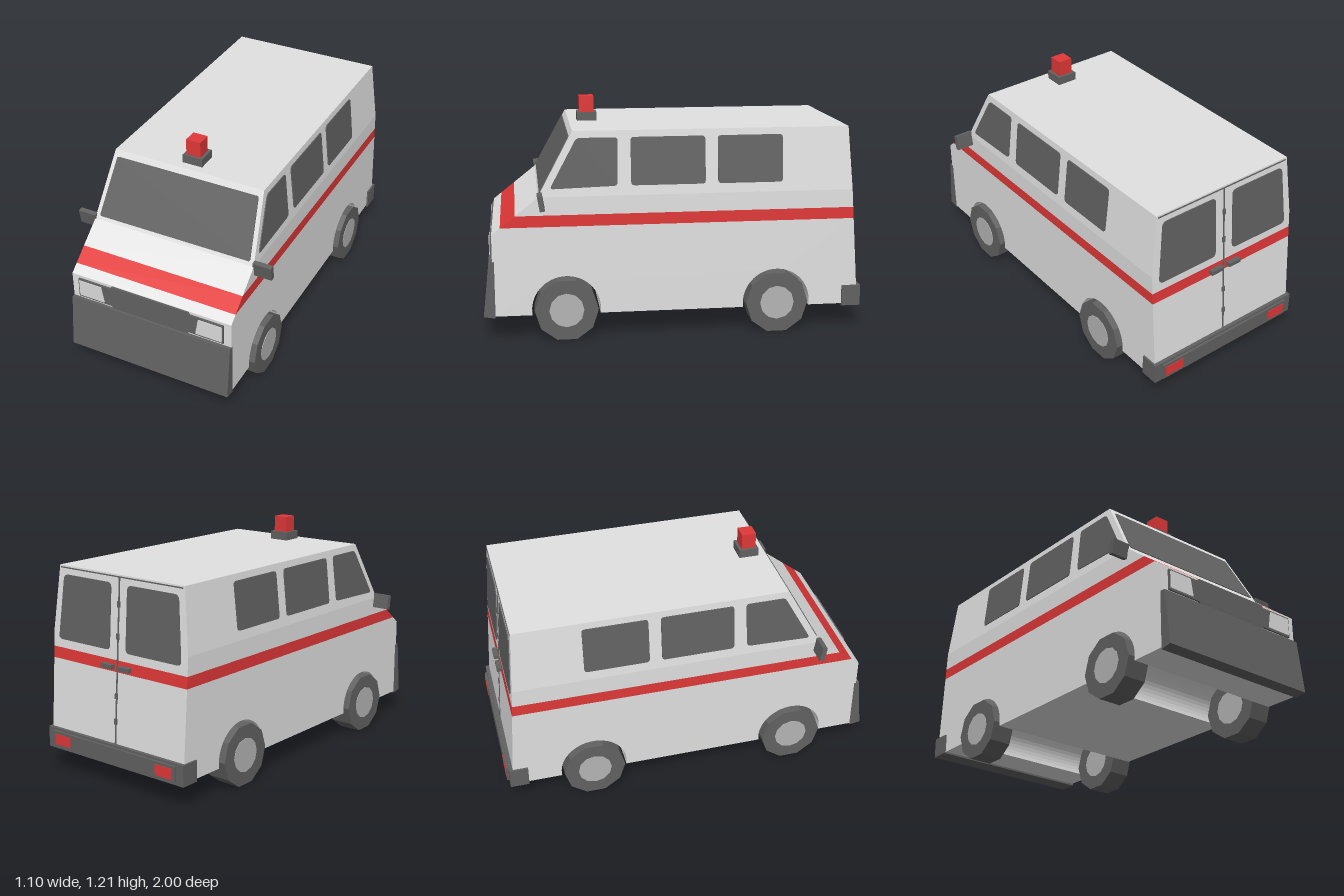
import * as THREE from 'three';

const mat = (name, color) => {
  const m = new THREE.MeshStandardMaterial({ color });
  m.name = name;
  return m;
};

export function createModel() {
  const van = new THREE.Group();
  van.name = 'van';
  const white = mat('white paint', 0xe2e2e2);
  const red = mat('red', 0xe23838);
  const dark = mat('dark grey', 0x626262);
  const silver = mat('hub grey', 0xb6b6b6);
  const lens = mat('headlight lens', 0xdcdcdc);

  const add = (name, geometry, material, parent = van) => {
    const mesh = new THREE.Mesh(geometry, material);
    mesh.name = name;
    parent.add(mesh);
    return mesh;
  };
  // Box from its limits on each axis
  const box = (name, [x0, x1], [y0, y1], [z0, z1], material) => {
    const m = add(name, new THREE.BoxGeometry(x1 - x0, y1 - y0, z1 - z0), material);
    m.position.set((x0 + x1) / 2, (y0 + y1) / 2, (z0 + z1) / 2);
    return m;
  };

  // Body surface: half width, front z and back z at height y
  const halfW = (y) => 0.455 - 0.035 * Math.max(0, (y - 0.75) / 0.33);
  const frontZ = (y) =>
    y <= 0.56 ? 0.95 : y <= 0.75 ? 0.95 - ((y - 0.56) / 0.19) * 0.24 : 0.71 - ((y - 0.75) / 0.33) * 0.18;
  const backZ = (y) => -0.905 - (1.08 - y) * 0.0706;

  // Side profile in (z, y), extruded across the width
  const acrossWidth = (shape, half) => {
    const g = new THREE.ExtrudeGeometry(shape, { depth: half * 2, bevelEnabled: false, curveSegments: 16 });
    return g.rotateY(-Math.PI / 2).translate(half, 0, 0);
  };

  // Lower body with wheel arches
  const axles = [0.575, -0.53];
  const floor = 0.13;
  const lower = new THREE.Shape();
  lower.moveTo(backZ(floor), floor);
  for (const z of [...axles].reverse()) {
    const r = 0.178, cy = 0.155, a = Math.asin((floor - cy) / r);
    lower.lineTo(z - r * Math.cos(a), floor);
    lower.absarc(z, cy, r, Math.PI - a, a, true);
  }
  lower.lineTo(0.95, floor);
  lower.lineTo(0.95, 0.56);
  lower.lineTo(frontZ(0.595), 0.595);
  lower.lineTo(backZ(0.595), 0.595);
  lower.closePath();
  add('lowerBody', acrossWidth(lower, 0.455), white);

  // Upper body in layers; the stripe is a layer of its own
  const layer = (name, y0, y1, material) => {
    const ring = (y) => {
      const w = halfW(y), f = frontZ(y), b = backZ(y);
      return [[w, y, f], [w, y, b], [-w, y, b], [-w, y, f]];
    };
    const lo = ring(y0), hi = ring(y1), p = [];
    const quad = (a, b, c, d) => p.push(...a, ...b, ...c, ...a, ...c, ...d);
    for (let i = 0; i < 4; i++) {
      const j = (i + 1) % 4;
      quad(lo[i], lo[j], hi[j], hi[i]);
    }
    quad(...hi);
    const g = new THREE.BufferGeometry();
    g.setAttribute('position', new THREE.Float32BufferAttribute(p, 3));
    g.computeVertexNormals();
    add(name, g, material);
  };
  layer('stripe', 0.595, 0.655, red);
  layer('waist', 0.655, 0.75, white);
  layer('cabin', 0.75, 1.08, white);

  // Thin plates that follow the body surface, with rounded corners
  const maps = {
    front: (u, v, w) => [u, v, frontZ(v) + w],
    back: (u, v, w) => [-u, v, backZ(v) - w],
    left: (u, v, w) => [halfW(v) + w, v, -u],
    right: (u, v, w) => [-halfW(v) - w, v, u],
  };
  const plate = (name, side, points, material, r = 0.018, depth = 0.005) => {
    const pts = points.map(([u, v]) => new THREE.Vector2(side === 'left' ? -u : u, v));
    const s = new THREE.Shape();
    pts.forEach((p, i) => {
      const prev = pts[(i + pts.length - 1) % pts.length], next = pts[(i + 1) % pts.length];
      const a = p.clone().add(prev.clone().sub(p).setLength(r));
      const b = p.clone().add(next.clone().sub(p).setLength(r));
      if (i) s.lineTo(a.x, a.y);
      else s.moveTo(a.x, a.y);
      s.quadraticCurveTo(p.x, p.y, b.x, b.y);
    });
    s.closePath();
    const g = new THREE.ExtrudeGeometry(s, { depth, bevelEnabled: false, curveSegments: 3 });
    const pos = g.attributes.position;
    for (let i = 0; i < pos.count; i++) {
      pos.setXYZ(i, ...maps[side](pos.getX(i), pos.getY(i), pos.getZ(i)));
    }
    g.computeVertexNormals();
    add(name, g, material);
  };
  const rect = (u0, u1, v0, v1) => [[u0, v0], [u1, v0], [u1, v1], [u0, v1]];

  plate('windshield', 'front', [[-0.43, 0.77], [0.43, 0.77], [0.4, 1.05], [-0.4, 1.05]], dark, 0.008);
  for (const side of ['left', 'right']) {
    plate('cabWindow', side, [[0.305, 0.8], [0.65, 0.79], [0.51, 1.045], [0.3, 1.045]], dark);
    plate('middleWindow', side, rect(-0.15, 0.235, 0.8, 1.045), dark);
    plate('rearSideWindow', side, rect(-0.555, -0.215, 0.8, 1.045), dark);
  }

  // Rear doors: windows, seams, hinges and handles
  for (const s of [-1, 1]) {
    const w = [[s * 0.055, 0.7], [s * 0.415, 0.7], [s * 0.385, 1.035], [s * 0.055, 1.035]];
    plate('rearWindow', 'back', w, dark, 0.025);
    box('rearHandle', s > 0 ? [0.02, 0.095] : [-0.095, -0.02], [0.61, 0.632], [-0.962, -0.935], dark);
  }
  plate('doorSeam', 'back', rect(-0.004, 0.004, 0.23, 1.07), dark, 0.001, 0.003);
  plate('doorTopSeam', 'back', rect(-0.41, 0.41, 1.066, 1.072), dark, 0.001, 0.003);
  for (const y of [0.33, 0.46, 0.76, 0.92]) {
    plate('doorCatch', 'back', rect(-0.009, 0.009, y, y + 0.03), dark, 0.002, 0.006);
  }

  // Front bumper apron
  const apron = new THREE.Shape(
    [[0.94, 0.12], [1.0, 0.13], [0.968, 0.42], [0.94, 0.42]].map((p) => new THREE.Vector2(...p)));
  add('frontBumper', acrossWidth(apron, 0.456), dark);

  // Grille and headlights
  box('grilleFrame', [-0.415, 0.415], [0.435, 0.545], [0.94, 0.96], dark);
  plate('grilleCentre', 'front', [[-0.21, 0.424], [0.21, 0.424], [0.23, 0.44], [0.23, 0.54],
    [0.22, 0.558], [-0.22, 0.558], [-0.23, 0.54], [-0.23, 0.44]], dark, 0.003, 0.0095);
  for (const s of [-1, 1]) {
    plate('headlight', 'front', [[s * 0.262, 0.445], [s * 0.408, 0.445], [s * 0.408, 0.537], [s * 0.278, 0.537]],
      lens, 0.004, 0.014);
  }

  // Rear bumper and tail lights
  box('rearBumper', [-0.465, 0.465], [0.12, 0.23], [-0.985, -0.885], dark);
  box('rearBumperFace', [-0.42, 0.42], [0.132, 0.218], [-0.997, -0.98], dark);
  for (const s of [-1, 1]) {
    const light = box('tailLight', [-0.055, 0.055], [0.147, 0.203], [-1.0, -0.995], red);
    light.position.x = s * 0.35;
  }

  // Mirrors
  for (const s of [-1, 1]) {
    const mirror = box('mirror', [-0.05, 0.05], [0.695, 0.775], [0.684, 0.71], dark);
    mirror.position.x = s * 0.5;
    mirror.rotation.x = 0.17;
  }

  // Roof beacon
  box('beaconBase', [-0.055, 0.055], [1.075, 1.125], [0.38, 0.485], dark);
  box('beaconLight', [-0.04, 0.04], [1.125, 1.21], [0.395, 0.472], red);

  // Ten-sided wheels with hub plates on both faces
  const tyre = new THREE.CylinderGeometry(0.165, 0.165, 0.125, 10).rotateY(Math.PI / 2).rotateZ(-Math.PI / 2);
  const flatTyre = tyre.rotateX(Math.PI / 2).toNonIndexed();
  flatTyre.computeVertexNormals();
  flatTyre.computeBoundingBox();
  const hub = new THREE.CylinderGeometry(0.09, 0.09, 0.13, 12).rotateZ(Math.PI / 2);
  for (const z of axles) {
    for (const s of [-1, 1]) {
      const wheel = new THREE.Group();
      wheel.name = 'wheel';
      add('tyre', flatTyre, dark, wheel);
      add('hub', hub, silver, wheel);
      wheel.position.set(s * 0.418, -flatTyre.boundingBox.min.y, z);
      van.add(wheel);
    }
  }
  return van;
}
